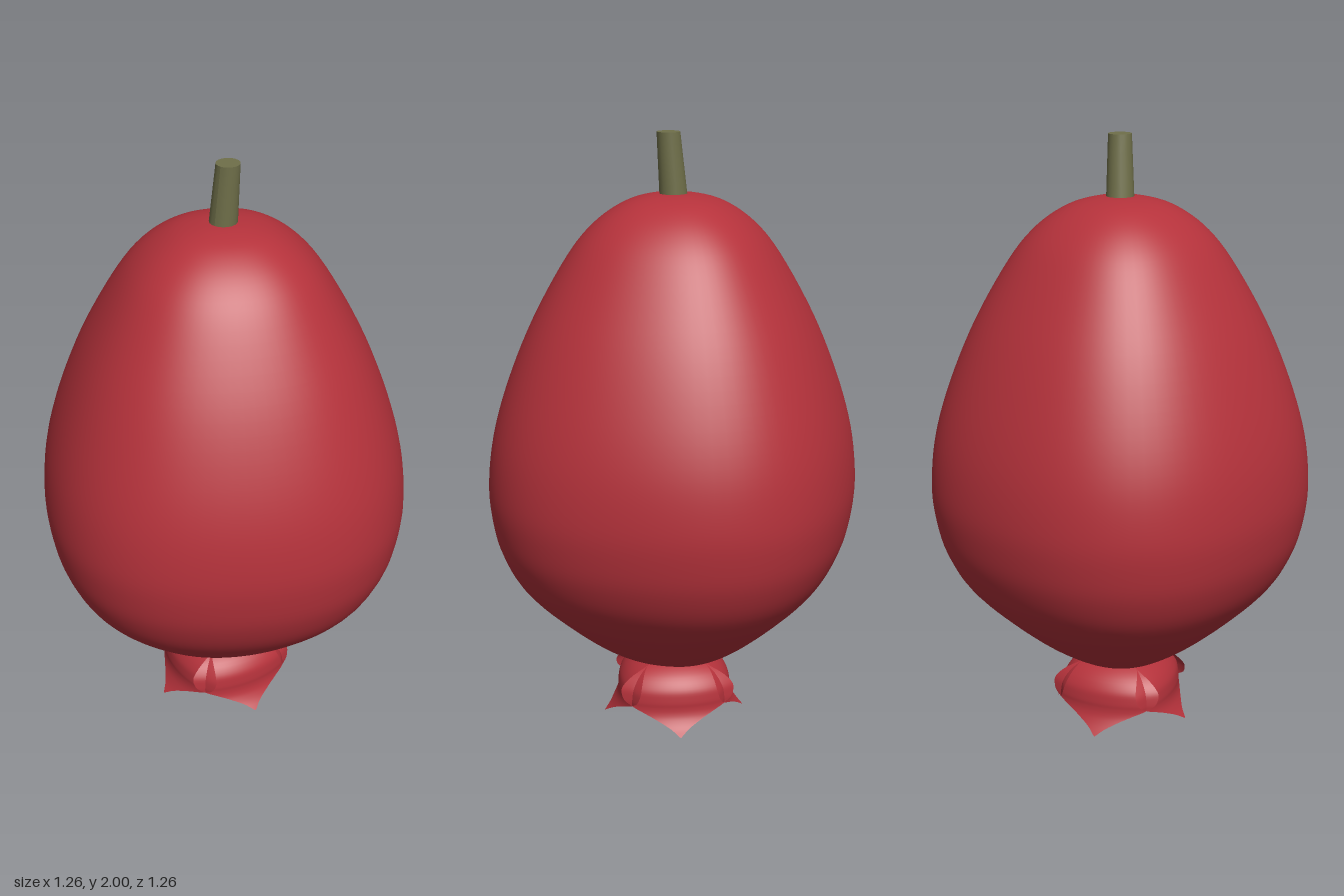
import * as THREE from 'three';
import { mergeVertices } from 'three/addons/utils/BufferGeometryUtils.js';

const skin = new THREE.MeshStandardMaterial({ color: 0xb5323b });
skin.name = 'red skin';
const sepalRed = new THREE.MeshStandardMaterial({ color: 0xb5323b, side: THREE.DoubleSide });
sepalRed.name = 'red sepal';
const stemGreen = new THREE.MeshStandardMaterial({ color: 0x70704a });
stemGreen.name = 'olive stem';

const v2 = (list) => list.map(([x, y]) => new THREE.Vector2(x, y));

// Egg-shaped fruit: a lathe whose round section is flattened on the four diagonals
function makeFruit() {
  const profile = new THREE.SplineCurve(v2([
    [0, 0.203], [0.13, 0.212], [0.26, 0.276], [0.41, 0.395], [0.53, 0.515], [0.594, 0.63],
    [0.623, 0.74], [0.632, 0.86], [0.613, 1.02], [0.56, 1.2], [0.475, 1.4], [0.36, 1.6],
    [0.273, 1.705], [0.175, 1.772], [0.08, 1.8], [0, 1.804],
  ])).getPoints(75);
  profile[0].x = profile[75].x = 0;
  let geo = new THREE.LatheGeometry(profile, 80);
  const pos = geo.attributes.position;
  for (let i = 0; i < pos.count; i++) {
    const x = pos.getX(i), z = pos.getZ(i);
    const k = 1 - 0.024 * (1 - Math.cos(4 * Math.atan2(z, x)));
    pos.setX(i, x * k);
    pos.setZ(i, z * k);
  }
  geo.deleteAttribute('uv');
  geo.deleteAttribute('normal');
  geo = mergeVertices(geo, 1e-5);
  geo.computeVertexNormals();
  return new THREE.Mesh(geo, skin);
}

// Cupped sepal: rows of [height, middle radius, half angle] ending in a flared tip
function makeSepal() {
  const rows = new THREE.CatmullRomCurve3([
    [0.225, 0.07, 0.7], [0.205, 0.122, 0.79], [0.17, 0.168, 0.93], [0.14, 0.187, 0.97],
    [0.11, 0.193, 0.93], [0.085, 0.194, 0.79], [0.065, 0.197, 0.58], [0.045, 0.205, 0.36],
    [0.02, 0.222, 0.13], [0, 0.242, 0.005],
  ].map((r) => new THREE.Vector3(...r))).getPoints(36);
  const across = 16, verts = [], index = [];
  rows.forEach(({ x: y, y: r, z: half }, i) => {
    for (let j = 0; j <= across; j++) {
      const a = ((j / across) * 2 - 1) * half;
      const rad = r * (1 + 0.25 * a * a); // flatter than a circle, so neighbours cross
      verts.push(rad * Math.sin(a), y, rad * Math.cos(a));
      if (i < rows.length - 1 && j < across) {
        const p = i * (across + 1) + j, q = p + across + 1;
        index.push(p, q, p + 1, q, q + 1, p + 1);
      }
    }
  });
  const geo = new THREE.BufferGeometry();
  geo.setAttribute('position', new THREE.Float32BufferAttribute(verts, 3));
  geo.setIndex(index);
  geo.computeVertexNormals();
  return geo;
}

// Tapered stem leaning a little to the left
function makeStem() {
  const geo = new THREE.CylinderGeometry(0.038, 0.046, 0.22, 20, 4);
  const pos = geo.attributes.position;
  for (let i = 0; i < pos.count; i++) {
    const t = pos.getY(i) / 0.22 + 0.5;
    pos.setX(i, pos.getX(i) + 0.02 * t);
    pos.setY(i, pos.getY(i) + 1.89);
  }
  geo.computeVertexNormals();
  return new THREE.Mesh(geo, stemGreen);
}

export function createModel() {
  const model = new THREE.Group();
  model.name = 'fruit';

  const body = makeFruit();
  body.name = 'fruitBody';
  const stem = makeStem();
  stem.name = 'stem';

  // Ring of four crossing sepals under the fruit
  const calyx = new THREE.Group();
  calyx.name = 'calyx';
  const sepalGeo = makeSepal();
  for (let i = 0; i < 4; i++) {
    const sepal = new THREE.Mesh(sepalGeo, sepalRed);
    sepal.name = `sepal${i + 1}`;
    sepal.rotation.y = -0.42 + (i * Math.PI) / 2;
    calyx.add(sepal);
  }

  model.add(body, stem, calyx);
  return model;
}
